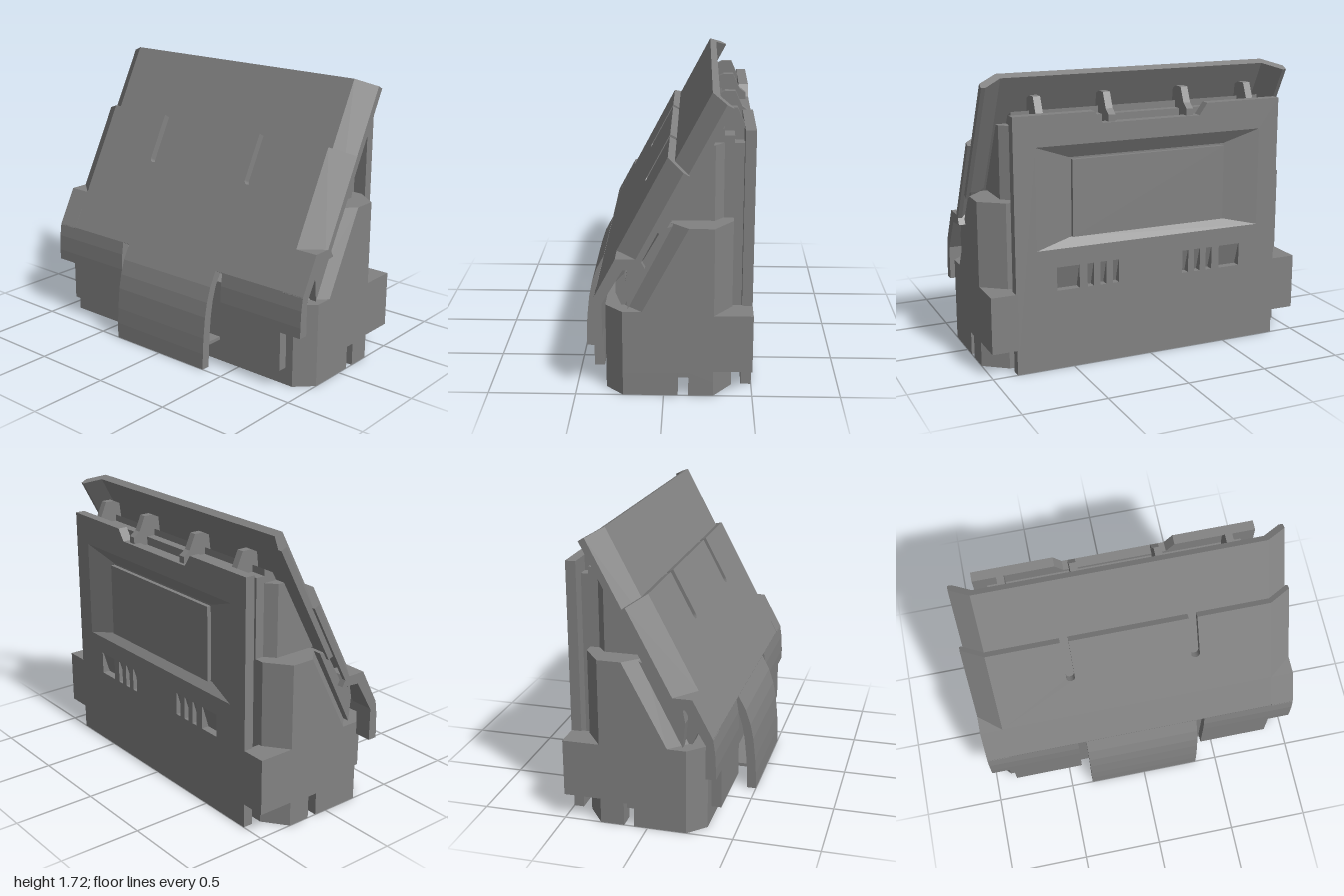
import * as THREE from 'three';

const mat = new THREE.MeshStandardMaterial({ color: 0x828282, flatShading: true });
const matDouble = new THREE.MeshStandardMaterial({ color: 0x828282, flatShading: true, side: THREE.DoubleSide });

export function createModel() {
  const model = new THREE.Group();
  model.name = 'slopedHousing';

  const add = (name, geometry, parent = model, material = mat) => {
    const mesh = new THREE.Mesh(geometry, material);
    mesh.name = name;
    parent.add(mesh);
    return mesh;
  };
  const shapeOf = pts => new THREE.Shape(pts.map(p => new THREE.Vector2(p[0], p[1])));
  const extrude = (shape, depth) =>
    new THREE.ExtrudeGeometry(shape, { depth, bevelEnabled: false, curveSegments: 8 });
  // box from its limits
  const box = (name, x0, x1, y0, y1, z0, z1) =>
    add(name, new THREE.BoxGeometry(x1 - x0, y1 - y0, z1 - z0)
      .translate((x0 + x1) / 2, (y0 + y1) / 2, (z0 + z1) / 2));
  // profile in (z, y) swept from x0 to x1
  const sweep = (name, pts, x0, x1) =>
    add(name, extrude(shapeOf(pts), x1 - x0).rotateY(-Math.PI / 2).translate(x1, 0, 0));
  // both sides of a swept profile
  const sweepPair = (name, pts, x0, x1) => {
    sweep(name + 'Left', pts, x0, x1);
    sweep(name + 'Right', pts, -x1, -x0);
  };
  // plan in (x, -z) raised from y0
  const plan = (name, pts, y0, h) =>
    add(name, extrude(shapeOf(pts), h).rotateX(-Math.PI / 2).translate(0, y0, 0));
  // half outline closed by its mirror image in x
  const mirrored = pts => [...pts, ...pts.map(([x, y]) => [-x, y]).reverse()];
  // faceted skin over a series of loops, with optional end caps
  const loft = (loops, capped) => {
    const v = [];
    const tri = (a, b, c) => v.push(...a, ...b, ...c);
    const n = loops[0].length;
    for (let i = 0; i + 1 < loops.length; i++) for (let j = 0; j < n; j++) {
      const k = (j + 1) % n, A = loops[i], B = loops[i + 1];
      tri(A[j], A[k], B[k]);
      tri(A[j], B[k], B[j]);
    }
    if (capped) for (let j = 1; j < n - 1; j++) {
      const A = loops[0], B = loops[loops.length - 1];
      tri(A[0], A[j + 1], A[j]);
      tri(B[0], B[j], B[j + 1]);
    }
    const g = new THREE.BufferGeometry();
    g.setAttribute('position', new THREE.Float32BufferAttribute(v, 3));
    g.computeVertexNormals();
    return g;
  };

  // Body with chamfered corners and a sloping upper front
  const level = (y, zf) => [
    [1, zf - 0.1], [1, -0.28], [0.86, -0.385], [-0.86, -0.385],
    [-1, -0.28], [-1, zf - 0.1], [-0.9, zf], [0.9, zf],
  ].map(([x, z]) => [x, y, z]);
  add('body', loft([level(0.14, 0.33), level(0.51, 0.33), level(0.51, 0.22), level(1, -0.04)], true));
  // filler between the body slope and the cover
  sweep('slopeFiller', [[0.2, 0.51], [0.215, 0.66], [0.2, 0.74], [0.13, 0.77], [0.01, 0.98], [-0.05, 1]], -0.96, 0.96);

  // Floor slab with side notches, open rim below it, vent bars
  plan('floorSlab', mirrored([[0.9, -0.33], [1, -0.23], [1, 0.08], [0.94, 0.08], [0.94, 0.14],
    [1, 0.14], [1, 0.28], [0.86, 0.385]]), 0.08, 0.06);
  plan('frontRim', mirrored([[0.9, -0.33], [1, -0.23], [1, 0.08], [0.9, 0.08], [0.9, -0.2], [0.83, -0.27]]), 0, 0.08);
  plan('rearRim', mirrored([[0.86, 0.385], [1, 0.28], [1, 0.14], [0.9, 0.14], [0.9, 0.25], [0.8, 0.33]]), 0, 0.08);
  for (let i = 0; i < 6; i++) {
    const z = -0.25 + i * 0.085, w = 0.13 + i * 0.074;
    sweep('ventBar', [[z, 0.085], [z + 0.045, 0.085], [z + 0.03, 0.03], [z + 0.015, 0.03]], -w, w);
  }

  // Rear side blocks and the core behind the cover
  for (const s of [-1, 1]) {
    const a = s > 0 ? 0.84 : -1;
    box('rearSideBlock', a, a + 0.16, 0.15, 0.49, -0.5, -0.27);
    plan('cheekChamfer', [[s * 0.86, 0.28], [s * 0.8, 0.33], [s * 0.8, 0.28]], 0.99, 0.44);
  }
  sweep('upperCore', [[-0.01, 1], [-0.27, 1.48], [-0.33, 1.51], [-0.33, 1.47], [-0.385, 1.47], [-0.385, 0.99]], -0.8, 0.8);
  sweepPair('coreCheek', [[-0.01, 1], [-0.24, 1.43], [-0.28, 1.43], [-0.28, 0.99]], 0.79, 0.86);
  box('panelBacking', -0.77, 0.77, 0.15, 1.42, -0.445, -0.38);
  for (const x of [-0.68, -0.255, 0.245, 0.67])
    sweep('topRib', [[-0.48, 1.4], [-0.48, 1.48], [-0.44, 1.51], [-0.4, 1.6], [-0.34, 1.6], [-0.3, 1.58], [-0.28, 1.4]],
      x - 0.022, x + 0.022);

  // Back panel with top notch, framed recess and vent slots
  const rect = (x0, x1, y0, y1) => [[x0, y0], [x1, y0], [x1, y1], [x0, y1]];
  const back = shapeOf([[-0.85, 0], [0.85, 0], [0.85, 1.51], [0.36, 1.51], [0.31, 1.44],
    [-0.31, 1.44], [-0.36, 1.51], [-0.85, 1.51]]);
  const outer = rect(-0.72, 0.72, 0.73, 1.33), floor = rect(-0.5, 0.5, 0.78, 1.25);
  back.holes.push(shapeOf(outer));
  for (const s of [-1, 1])
    for (const [a, b] of [[0.46, 0.6], [0.37, 0.41], [0.29, 0.33], [0.21, 0.25]])
      back.holes.push(shapeOf(rect(Math.min(s * a, s * b), Math.max(s * a, s * b), 0.48, 0.62)));
  add('backPanel', extrude(back, 0.06).translate(0, 0, -0.5));
  sweepPair('slotRamp', [[-0.495, 0.625], [-0.45, 0.475], [-0.44, 0.475], [-0.44, 0.625]], 0.2, 0.61);
  const at = (pts, z) => pts.map(([x, y]) => [x, y, z]);
  add('recessFrame', loft([at(outer, -0.5), at(floor, -0.455)], false), model, matDouble);
  box('recessFloor', -0.51, 0.51, 0.77, 1.26, -0.455, -0.44);
  box('raisedPlate', -0.49, 0.49, 0.785, 1.24, -0.48, -0.45);

  // Sloped cover: local y runs up the slope, local z points outwards
  const cover = new THREE.Group();
  cover.name = 'slopedCover';
  cover.position.set(0, 0.82, 0.265);
  cover.rotation.x = -0.486;
  model.add(cover);

  // lower sheet with two round-ended slots
  const sheet = new THREE.Shape();
  sheet.moveTo(-0.86, 0);
  sheet.lineTo(-1, 0);
  sheet.lineTo(-1, -0.25);
  sheet.lineTo(1, -0.25);
  sheet.lineTo(1, 0);
  sheet.lineTo(0.86, 0);
  sheet.lineTo(0.86, 0.61);
  for (const x of [0.387, -0.387]) {
    sheet.lineTo(x + 0.026, 0.61);
    sheet.lineTo(x + 0.026, 0.32);
    sheet.absarc(x, 0.32, 0.026, 0, Math.PI, true);
    sheet.lineTo(x - 0.026, 0.61);
  }
  sheet.lineTo(-0.86, 0.61);
  add('lowerSheet', extrude(sheet, 0.046).translate(0, 0, -0.046), cover);
  // folded wings and upper sheet: section in (x, depth) run up the slope
  const runUp = (name, pts, s0, s1) =>
    add(name, extrude(shapeOf(pts), s1 - s0).rotateX(-Math.PI / 2).translate(0, s0, 0), cover);
  for (const s of [-1, 1])
    runUp('lowerWing', [[0.86, 0], [1, 0.1], [1, 0.135], [0.975, 0.135], [0.85, 0.046]].map(([x, d]) => [s * x, d]), 0, 0.61);
  runUp('upperSheet', mirrored([[0.86, 0.044], [0.98, 0.13], [0.98, 0.17], [0.955, 0.17], [0.845, 0.09]]), 0.24, 1.04);

  // Shoulders below the wings
  sweepPair('coverShoulder', [[0.265, 0.82], [0.13, 0.82], [0.1, 0.765], [0.225, 0.755], [0.34, 0.56], [0.385, 0.595]], 0.86, 1);

  // Curved centre flap and its web
  sweep('centreFlap', [[0.383, 0.6], [0.43, 0.51], [0.46, 0.42], [0.478, 0.33], [0.492, 0.2], [0.498, 0.1], [0.5, 0],
    [0.445, 0], [0.443, 0.1], [0.437, 0.2], [0.424, 0.33], [0.407, 0.42], [0.378, 0.51], [0.34, 0.575]], -0.36, 0.36);
  box('flapWeb', -0.35, 0.35, 0.135, 0.155, 0.32, 0.45);

  // Side flaps: long inner panel and shorter outer strip
  const flap = bottom => [[0.383, 0.6], [0.395, 0.52], [0.4, 0.42], [0.4, bottom], [0.342, bottom], [0.342, 0.575]];
  sweepPair('sideFlapPanel', flap(0.115), 0.413, 0.86);
  sweepPair('sideFlapStrip', flap(0.355), 0.86, 1);
  sweepPair('ledgeTab', [[0.27, 0.58], [0.27, 0.65], [0.22, 0.7], [0.2, 0.6], [0.2, 0.51], [0.24, 0.51]], 0.8, 0.9);

  return model;
}
